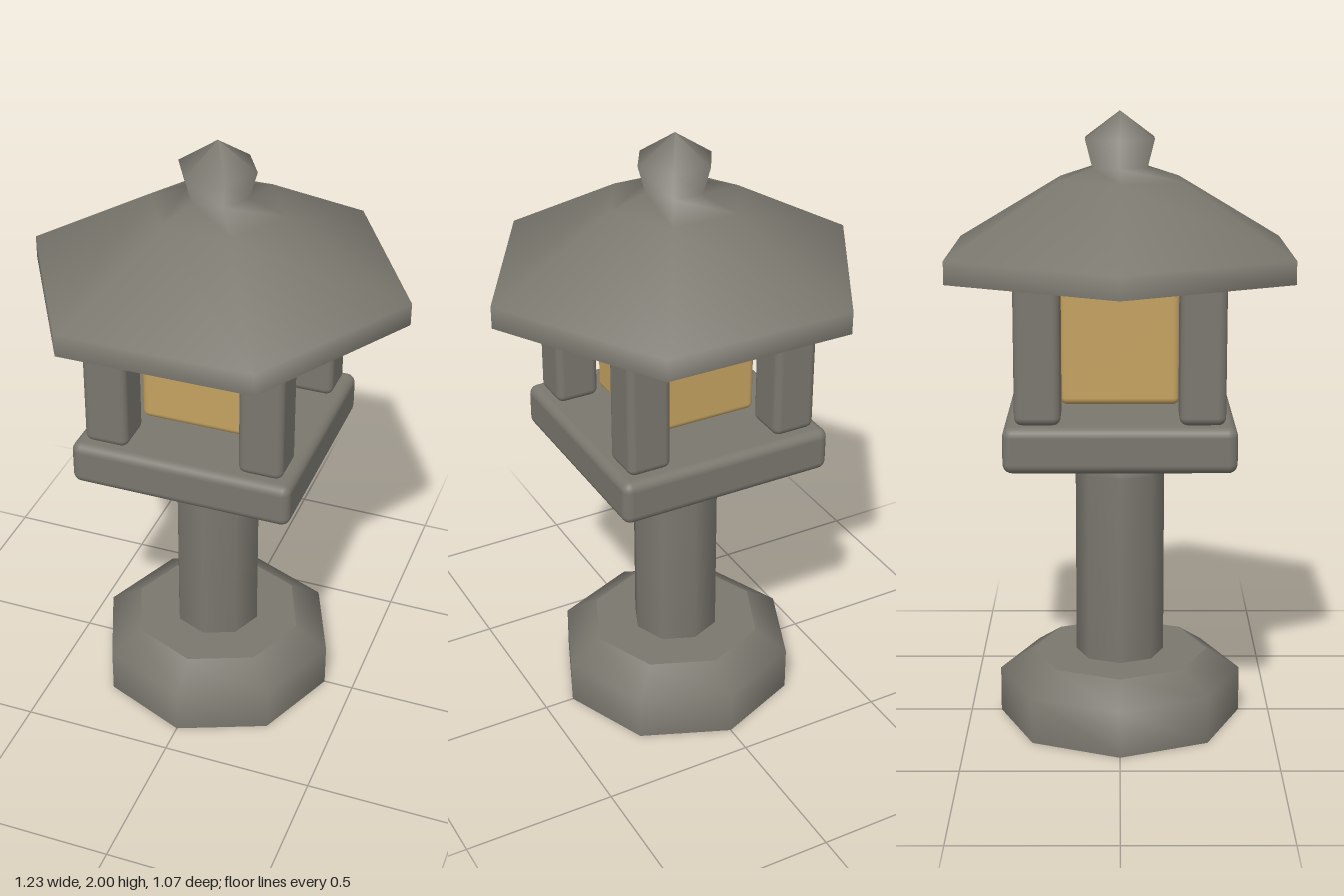
import * as THREE from 'three';
import { RoundedBoxGeometry } from 'three/addons/geometries/RoundedBoxGeometry.js';

export function createModel() {
  const group = new THREE.Group();
  const stone = new THREE.MeshStandardMaterial({ color: 0x7a776e, side: THREE.DoubleSide });
  const glow = new THREE.MeshStandardMaterial({ color: 0xc4a260 });

  const add = (name, geometry, material, x = 0, y = 0, z = 0) => {
    const mesh = new THREE.Mesh(geometry, material);
    mesh.name = name;
    mesh.position.set(x, y, z);
    group.add(mesh);
    return mesh;
  };
  const lathe = (points, sides) =>
    new THREE.LatheGeometry(points.map(([r, y]) => new THREE.Vector2(r, y)), sides);

  // Octagonal hollow foot, open underneath, with a chamfered top
  add('base', lathe([[0.4, 0], [0.4, 0.15], [0.29, 0.22]], 8), stone);
  add('baseTop', lathe([[0.29, 0.22], [0.145, 0.22]], 8), stone);

  // Octagonal shaft with a rounded head
  add('shaft', lathe([[0.145, 0.22], [0.145, 0.84], [0.123, 0.89], [0.075, 0.916], [0, 0.918]], 8), stone);

  // Square platform
  add('platform', new RoundedBoxGeometry(0.725, 0.145, 0.725, 3, 0.03), stone, 0, 0.987, 0);

  // Light box between four corner pillars
  add('lightBox', new RoundedBoxGeometry(0.374, 0.365, 0.374, 3, 0.022), glow, 0, 1.278, 0);
  const pillar = new RoundedBoxGeometry(0.144, 0.442, 0.144, 3, 0.025);
  for (const x of [-1, 1])
    for (const z of [-1, 1]) add('pillar', pillar, stone, x * 0.255, 1.28, z * 0.255);

  // Hexagonal hollow roof rising into a pointed finial, corners on the x axis
  const roof = lathe([
    [0.617, 1.495], [0.617, 1.568], [0.22, 1.787], [0.1, 1.825], [0.126, 1.915], [0, 2],
  ], 6);
  add('roof', roof, stone).rotation.y = Math.PI / 2;

  return group;
}
